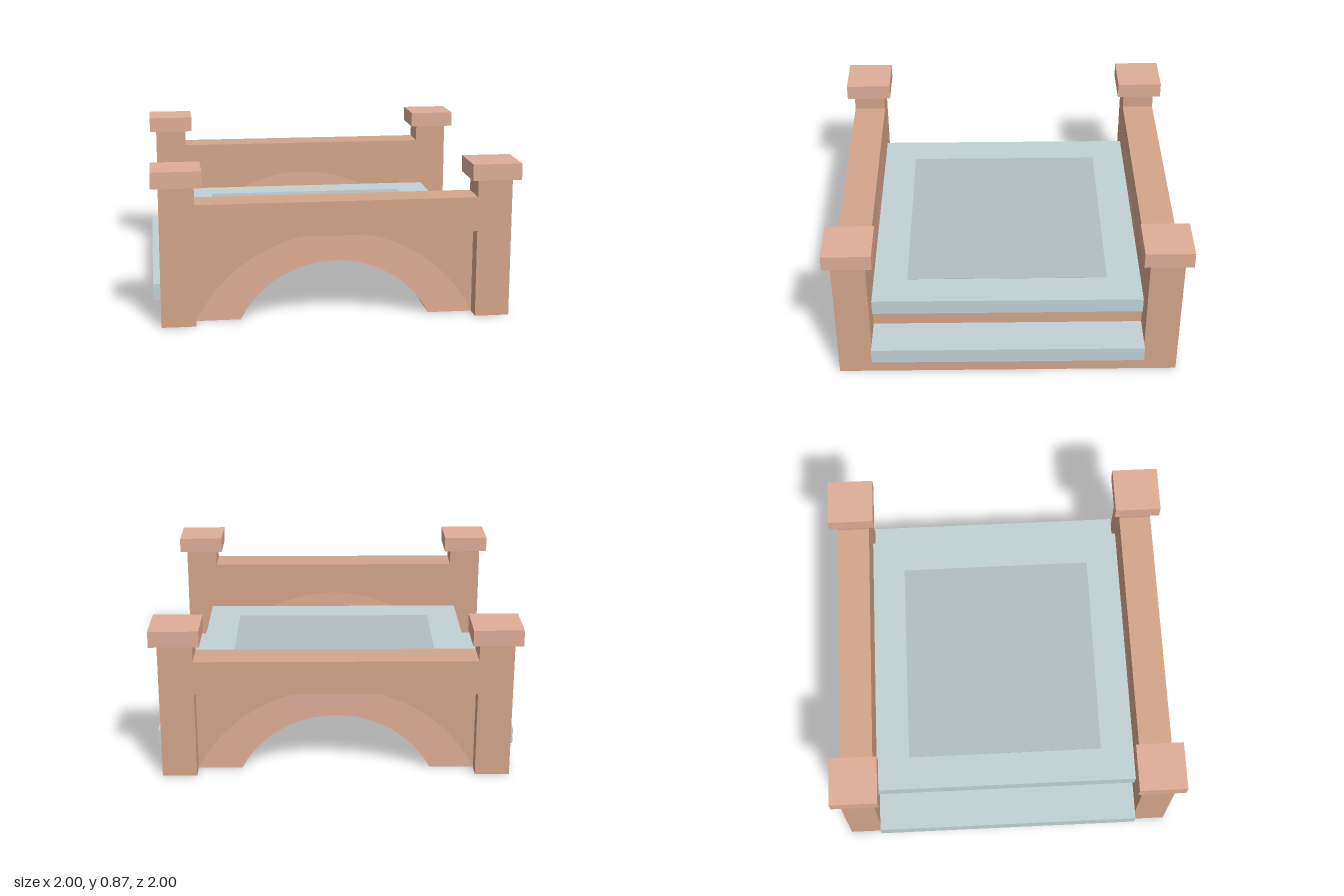
import * as THREE from 'three';
import { toCreasedNormals } from 'three/addons/utils/BufferGeometryUtils.js';

const mat = (color) => new THREE.MeshStandardMaterial({ color });

// Points of a circular arc rising from (half, 0) over (0, rise) to (-half, 0)
function arc(half, rise, n = 24) {
  const r = (half * half + rise * rise) / (2 * rise);
  const a = Math.asin(half / r);
  return Array.from({ length: n + 1 }, (_, i) => {
    const t = a - (2 * a * i) / n;
    return [r * Math.sin(t), r * Math.cos(t) - r + rise];
  });
}

export function createModel() {
  const group = new THREE.Group();
  const stone = mat(0xd4a58a), paleStone = mat(0xdfad96);
  const slab = mat(0xc0d2d5), inlay = mat(0xb2bec0);

  const add = (name, geometry, material) => {
    const mesh = new THREE.Mesh(geometry, material);
    mesh.name = name;
    group.add(mesh);
  };

  // Box given by its minimum and maximum corners
  const box = (name, [x0, y0, z0], [x1, y1, z1], material) => {
    const g = new THREE.BoxGeometry(x1 - x0, y1 - y0, z1 - z0);
    g.translate((x0 + x1) / 2, (y0 + y1) / 2, (z0 + z1) / 2);
    add(name, g, material);
  };

  // Front outline pushed from z0 to z1
  const prism = (name, points, z0, z1, material) => {
    const shape = new THREE.Shape(points.map(([x, y]) => new THREE.Vector2(x, y)));
    const g = new THREE.ExtrudeGeometry(shape, { depth: z1 - z0, bevelEnabled: false });
    g.translate(0, 0, z0);
    add(name, toCreasedNormals(g, 0.5), material);
  };

  const inner = arc(0.525, 0.32);
  const outer = arc(0.77, 0.48);

  // Stepped body with the arched tunnel
  prism('body', [
    ...inner, [-0.96, 0], [-0.96, 0.1], [-0.77, 0.1], [-0.77, 0.34],
    [0.77, 0.34], [0.77, 0.1], [0.96, 0.1], [0.96, 0],
  ], -0.77, 0.77, stone);

  // Deck slab, hollowed underneath where the tunnel passes
  prism('deck', [
    [0.805, 0.295], [0.805, 0.385], [-0.805, 0.385], [-0.805, 0.295],
    [-0.4, 0.295], [-0.4, 0.335], [0.4, 0.335], [0.4, 0.295],
  ], -0.77, 0.77, slab);
  box('deckInlay', [-0.61, 0.38, -0.575], [0.61, 0.387, 0.575], inlay);

  // Lower step at both ends
  for (const s of [-1, 1]) {
    box('step', [s > 0 ? 0.76 : -1, 0.1, -0.77], [s > 0 ? 1 : -0.76, 0.19, 0.77], slab);
  }

  // Side walls: recessed spandrel and arch ring under a thick parapet
  for (const s of [-1, 1]) {
    const [a, b] = s > 0 ? [0.77, 0.865] : [-0.865, -0.77];
    prism('archRing', [...inner, ...[...outer].reverse()], a, b, paleStone);
    prism('spandrel', [...outer, [-0.77, 0.49], [0.77, 0.49]], a, b, stone);
    const [c, d] = s > 0 ? [0.77, 0.96] : [-0.96, -0.77];
    box('parapet', [-0.77, 0.485, c], [0.77, 0.675, d], stone);

    // Corner posts with caps
    for (const t of [-1, 1]) {
      const x = t * 0.865, z = s * 0.865;
      box('post', [x - 0.095, 0, z - 0.095], [x + 0.095, 0.775, z + 0.095], stone);
      box('postCap', [x - 0.135, 0.775, z - 0.135], [x + 0.135, 0.865, z + 0.135], paleStone);
    }
  }
  return group;
}
